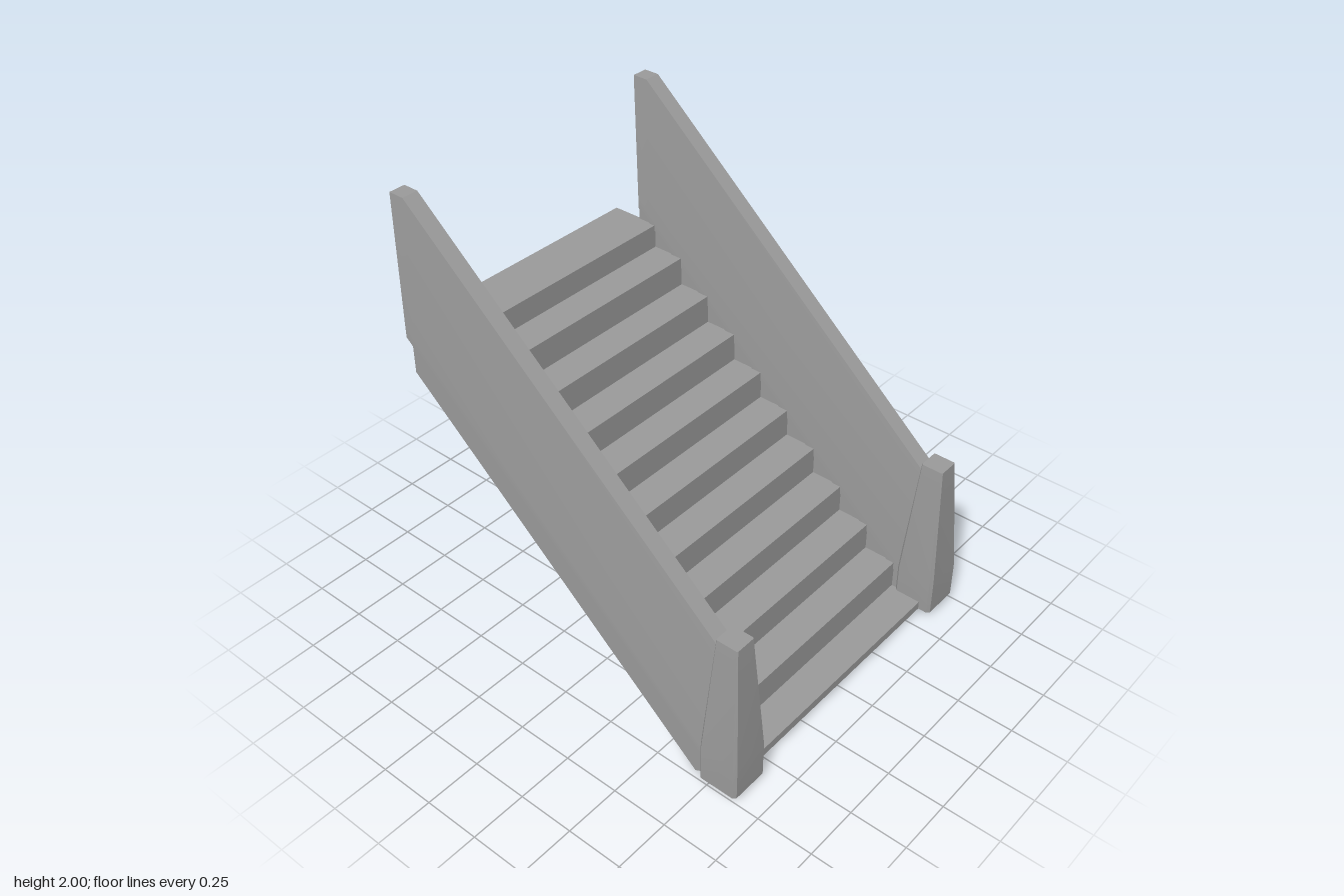
import * as THREE from 'three';
import { toCreasedNormals } from 'three/addons/utils/BufferGeometryUtils.js';

const material = new THREE.MeshStandardMaterial({ color: 0x9a9a9a, side: THREE.DoubleSide });
const SIDE_Z = 0.664;   // centre line of each balustrade
const STAIR_HALF = 0.594;

function creasedMesh(name, points) {
  const geometry = new THREE.BufferGeometry().setFromPoints(points);
  const mesh = new THREE.Mesh(toCreasedNormals(geometry, 0.3), material);
  mesh.name = name;
  return mesh;
}

// Skin between matching rings, with optional flat end caps
function loft(name, rings, capStart, capEnd) {
  const out = [];
  const n = rings[0].length;
  for (let r = 0; r < rings.length - 1; r++) {
    for (let i = 0; i < n; i++) {
      const j = (i + 1) % n;
      const [a, b, c, d] = [rings[r][i], rings[r][j], rings[r + 1][j], rings[r + 1][i]];
      out.push(a, b, c, a, c, d);
    }
  }
  const first = rings[0], last = rings[rings.length - 1];
  for (let i = 1; i < n - 1; i++) {
    if (capStart) out.push(first[0], first[i + 1], first[i]);
    if (capEnd) out.push(last[0], last[i], last[i + 1]);
  }
  return creasedMesh(name, out);
}

// Folded sheet following an x/y path across the width of the stairs
function ribbon(name, path) {
  const out = [];
  for (let i = 0; i < path.length - 1; i++) {
    const [p, q] = [path[i], path[i + 1]];
    const a = new THREE.Vector3(p[0], p[1], STAIR_HALF);
    const b = new THREE.Vector3(p[0], p[1], -STAIR_HALF);
    const c = new THREE.Vector3(q[0], q[1], -STAIR_HALF);
    const d = new THREE.Vector3(q[0], q[1], STAIR_HALF);
    out.push(a, b, c, a, c, d);
  }
  return creasedMesh(name, out);
}

// Wall cross-section: short upright lip, then a taper to a narrow top
function wallSection(lowX, lowY, topX, topY) {
  const wide = 0.083, narrow = 0.036, lip = 0.05;
  return [
    [lowX, lowY, wide], [lowX, lowY, -wide], [lowX, lowY + lip, -wide],
    [topX, topY, -narrow], [topX, topY, narrow], [lowX, lowY + lip, wide],
  ].map(([x, y, z]) => new THREE.Vector3(x, y, SIDE_Z + z));
}

// Band cross-section: inner and outer face through three x/y points, bottom to top
function bandSection(bottom, middle, top) {
  const inner = 0.587, outer = 0.722;
  return [
    [bottom, outer], [bottom, inner], [middle, inner],
    [top, inner], [top, outer], [middle, outer],
  ].map(([[x, y], z]) => new THREE.Vector3(x, y, z));
}

// Rectangle with small chamfered corners, for the posts
function postRing(y, x0, x1, z, c) {
  return [
    [x1, z - c], [x1, c - z], [x1 - c, -z], [x0 + c, -z],
    [x0, c - z], [x0, z - c], [x0 + c, z], [x1 - c, z],
  ].map(([px, pz]) => new THREE.Vector3(px, y, SIDE_Z + pz));
}

function balustrade() {
  const side = new THREE.Group();

  side.add(loft('sideWall', [
    wallSection(-0.755, 1.415, -0.81, 2),
    wallSection(-0.70, 1.367, -0.74, 2),
    wallSection(0.715, 0.143, 0.75, 0.71),
  ], true, true));

  // Inset band under the wall, its lower end open
  side.add(loft('lowerBand', [
    bandSection([-0.755, 1.24], [-0.755, 1.27], [-0.755, 1.415]),
    bandSection([0.67, 0], [0.715, 0.025], [0.715, 0.143]),
  ], true, false));

  // Tapered newel post, open underneath
  side.add(loft('newelPost', [
    postRing(0.027, 0.713, 0.892, 0.092, 0.012),
    postRing(0.2, 0.713, 0.892, 0.092, 0.012),
    postRing(0.75, 0.752, 0.852, 0.048, 0.004),
  ], false, true));
  return side;
}

export function createModel() {
  const model = new THREE.Group();
  model.name = 'staircase';

  // Treads and risers, ending in the top landing
  const steps = 10, run = 0.1505, rise = 0.132;
  const path = [[0.84, 0.027]];
  for (let i = 0; i < steps; i++) {
    const y = 0.065 + i * rise;
    path.push([0.84 - i * run, y], [0.84 - (i + 1) * run, y]);
  }
  path.push([-0.665, 1.36], [-0.897, 1.36]);
  model.add(ribbon('steps', path));

  // Underside of the flight
  model.add(ribbon('soffit', [[-0.87, 1.253], [-0.67, 1.253], [0.69, 0.027], [0.84, 0.027]]));

  // Matching balustrades on both sides
  for (const sign of [1, -1]) {
    const side = balustrade();
    side.name = sign > 0 ? 'frontBalustrade' : 'backBalustrade';
    side.scale.z = sign;
    model.add(side);
  }
  return model;
}
